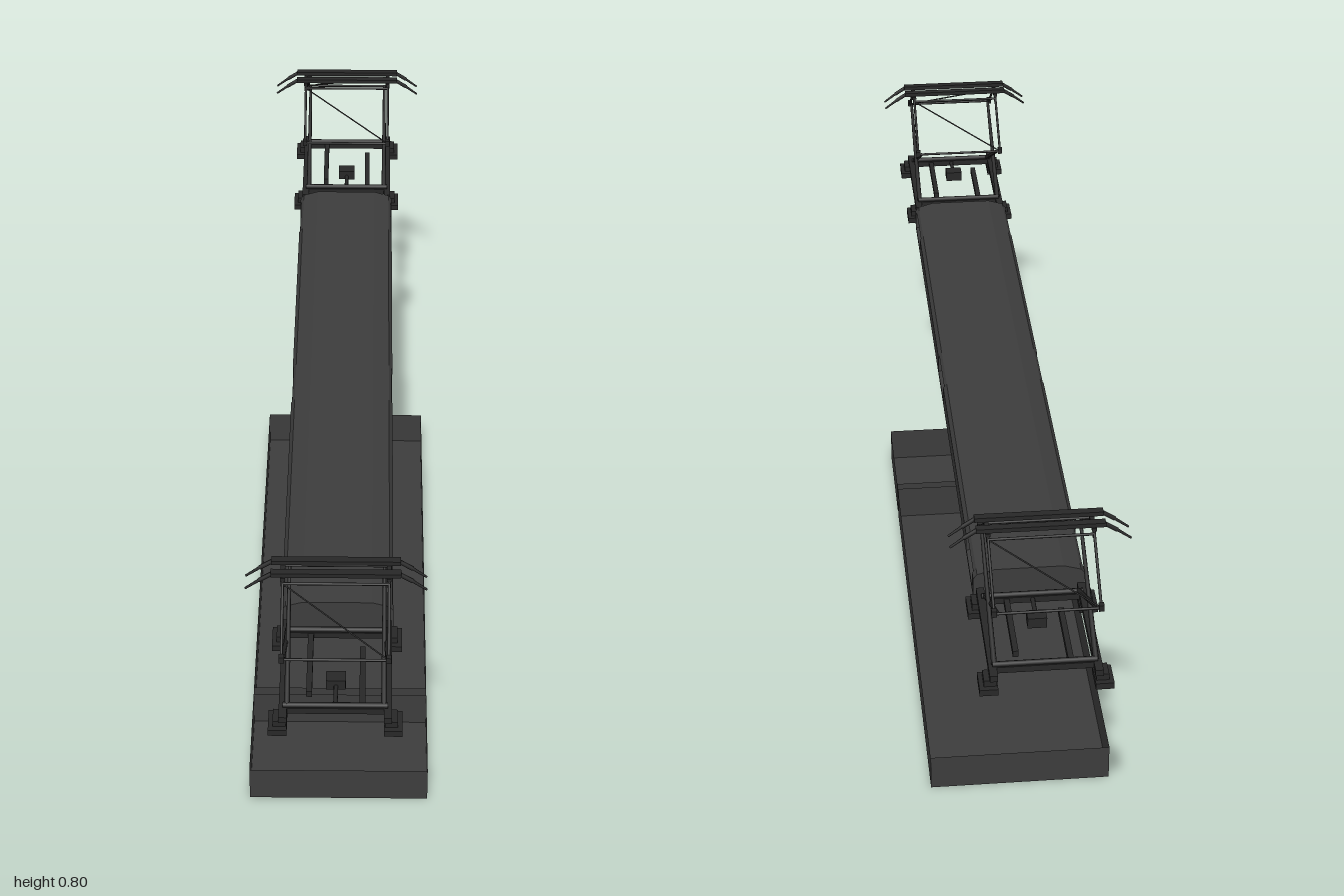
import * as THREE from 'three';

const body = new THREE.MeshStandardMaterial({ color: 0x3d3d3d, side: THREE.DoubleSide });
body.name = 'dark grey body';
const frame = new THREE.MeshStandardMaterial({ color: 0x282828 });
frame.name = 'black frame';

function add(parent, name, geometry, material) {
  const mesh = new THREE.Mesh(geometry, material);
  mesh.name = name;
  parent.add(mesh);
  return mesh;
}

function box(parent, name, size, pos, material = frame) {
  const mesh = add(parent, name, new THREE.BoxGeometry(...size), material);
  mesh.position.set(...pos);
  return mesh;
}

// Round bar between two points, optionally tapered
function rod(parent, name, a, b, r0, r1 = r0) {
  const p = new THREE.Vector3(...a), q = new THREE.Vector3(...b);
  const dir = q.clone().sub(p);
  const mesh = add(parent, name, new THREE.CylinderGeometry(r1, r0, dir.length(), 8), frame);
  mesh.position.copy(p).add(q).multiplyScalar(0.5);
  mesh.quaternion.setFromUnitVectors(new THREE.Vector3(0, 1, 0), dir.normalize());
  return mesh;
}

// Box without its top face
function tray(name, z0, z1) {
  const geo = new THREE.BoxGeometry(0.344, 0.072, z1 - z0);
  const index = Array.from(geo.index.array);
  index.splice(12, 6);
  geo.setIndex(index);
  geo.clearGroups();
  geo.translate(0, 0.036, (z0 + z1) / 2);
  const mesh = new THREE.Mesh(geo, body);
  mesh.name = name;
  return mesh;
}

// Long roof fairing with recessed openings along both sides
function roofUnit() {
  const g = new THREE.Group();
  g.name = 'roofUnit';
  const half = [[0.1, 0.53], [0.1, 0.57], [0.093, 0.579], [0.062, 0.588]];
  const notched = [[0.1, 0.53], [0.1, 0.537], [0.07, 0.537], [0.07, 0.573],
    [0.098, 0.573], [0.093, 0.579], [0.062, 0.588]];
  const cuts = [-0.71, -0.69, -0.57, -0.05, 0.07, 0.575, 0.695, 0.71];
  for (let i = 0; i < cuts.length - 1; i++) {
    const side = i % 2 ? notched : half;
    const points = [...side, ...side.map(([x, y]) => [-x, y]).reverse()];
    const shape = new THREE.Shape(points.map(([x, y]) => new THREE.Vector2(x, y)));
    const geo = new THREE.ExtrudeGeometry(shape, { depth: cuts[i + 1] - cuts[i], bevelEnabled: false });
    geo.translate(0, 0, cuts[i]);
    add(g, i % 2 ? 'recessedSection' : 'roofSection', geo, body);
  }
  return g;
}

function pantograph(z) {
  const g = new THREE.Group();
  g.name = 'pantograph';
  g.position.z = z;

  // Base frame on four insulator feet
  for (const s of [-1, 1]) {
    for (const t of [-1, 1]) {
      box(g, 'foot', [0.032, 0.012, 0.052], [s * 0.099, 0.538, t * 0.111]);
      box(g, 'footBlock', [0.022, 0.012, 0.032], [s * 0.096, 0.55, t * 0.111]);
    }
    box(g, 'sideRail', [0.014, 0.012, 0.26], [s * 0.09, 0.561, 0]);
    box(g, 'crossRail', [0.19, 0.012, 0.012], [0, 0.561, s * 0.1]);
    box(g, 'innerBar', [0.01, 0.012, 0.16], [s * 0.046, 0.559, s * 0.02]);
    rod(g, 'pivotShaft', [-0.09, 0.57, s * 0.1], [0.09, 0.57, s * 0.1], 0.005);
  }
  box(g, 'driveUnit', [0.034, 0.02, 0.026], [0, 0.565, 0.03]);
  rod(g, 'driveRod', [0, 0.562, 0.03], [0, 0.562, 0.1], 0.004);

  // Crossed lower arms, knee shafts and upper arms
  for (const t of [-1, 1]) {
    for (const s of [-1, 1]) {
      const x = s * (t > 0 ? 0.087 : 0.083);
      rod(g, 'lowerArm', [x, 0.57, -t * 0.1], [x, 0.697, t * 0.13], 0.005, 0.003);
      rod(g, 'upperArm', [s * 0.09, 0.697, t * 0.13], [s * 0.09, 0.775, t * 0.025], 0.0025);
      box(g, 'knee', [0.009, 0.012, 0.01], [s * 0.09, 0.699, t * 0.13]);
      rod(g, 'headPost', [s * 0.09, 0.768, t * 0.025], [s * 0.09, 0.79, t * 0.017], 0.003);
    }
    rod(g, 'kneeShaft', [-0.093, 0.697, t * 0.13], [0.093, 0.697, t * 0.13], 0.0025);
    rod(g, 'upperShaft', [-0.09, 0.775, t * 0.025], [0.09, 0.775, t * 0.025], 0.0025);
    rod(g, 'diagonalBrace', [t * 0.09, 0.697, t * 0.13], [-t * 0.09, 0.775, t * 0.025], 0.0014);

    // Contact strip with drooping horns
    box(g, 'contactStrip', [0.22, 0.008, 0.014], [0, 0.791, t * 0.017]);
    for (const s of [-1, 1]) {
      rod(g, 'horn', [s * 0.107, 0.791, t * 0.017], [s * 0.13, 0.776, t * 0.017], 0.004);
      rod(g, 'hornTip', [s * 0.13, 0.776, t * 0.017], [s * 0.154, 0.758, t * 0.017], 0.0028, 0.002);
    }
  }
  for (const s of [-1, 1]) box(g, 'headLink', [0.008, 0.006, 0.05], [s * 0.09, 0.783, 0]);
  return g;
}

export function createModel() {
  const model = new THREE.Group();
  model.name = 'roofEquipmentAndTrays';
  model.add(tray('largeTray', -0.588, 0.352), tray('smallTray', 0.372, 0.592));
  model.add(roofUnit(), pantograph(0.863), pantograph(-0.863));
  return model;
}
